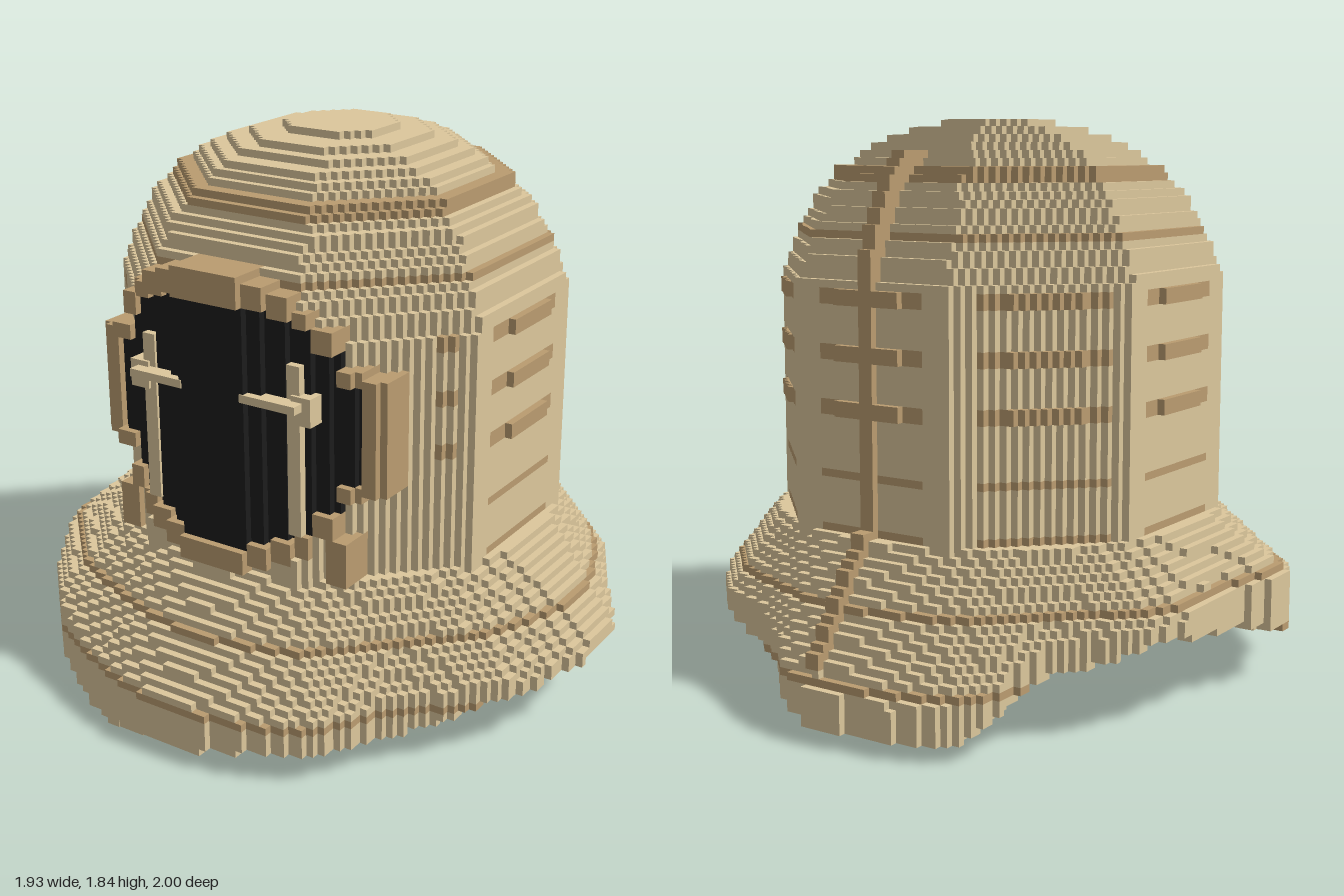
import * as THREE from 'three';

const N = 82, S = 2 / N;               // cells across and cell width
const NY = 75, SY = 1.84 / NY;         // layers and layer height
const CX = -0.05, CZ = 0.01;           // axis of the octagonal dome

// Dome radius (to the flat sides) by height
const DOME = [[0.3, 0.693], [1.3, 0.693], [1.4, 0.665], [1.46, 0.64], [1.52, 0.615], [1.6, 0.57],
  [1.65, 0.52], [1.69, 0.505], [1.7, 0.46], [1.73, 0.43], [1.755, 0.4], [1.78, 0.34], [1.805, 0.27],
  [1.828, 0.17], [1.84, 0.16]];

// Draped skirt every 22.5 degrees from +z toward +x: radius, hem height, height of full radius
const HEM = [[0.99, 0.05, 0.2], [0.99, 0.1, 0.2], [0.88, 0.11, 0.22], [0.96, 0.2, 0.25],
  [1.01, 0.24, 0.27], [0.91, 0.32, 0.34], [0.92, 0.25, 0.31], [0.87, 0.18, 0.3],
  [1.0, 0.06, 0.17], [1.02, 0.04, 0.15], [0.86, 0.21, 0.3], [0.92, 0.29, 0.35],
  [0.87, 0.25, 0.36], [0.98, 0.18, 0.36], [0.99, 0.11, 0.28], [0.97, 0, 0.2]];
const SKIRT_TOP = 0.57;

// Window and frame as stepped columns: half width, half height
const PANE = [[0.12, 0.395], [0.2, 0.375], [0.27, 0.35], [0.33, 0.325], [0.39, 0.25], [0.462, 0.168]];
const FRAME = [[0.12, 0.475], [0.2, 0.45], [0.27, 0.425], [0.33, 0.395], [0.39, 0.325], [0.462, 0.2],
  [0.53, 0.18]];

const SLAT_ROWS = [1.3, 1.128, 0.957, 0.757, 0.57];

function domeRadius(y) {
  if (y <= DOME[0][0]) return DOME[0][1];
  for (let i = 1; i < DOME.length; i++) {
    const [y0, r0] = DOME[i - 1], [y1, r1] = DOME[i];
    if (y <= y1) return r0 + (r1 - r0) * (y - y0) / (y1 - y0);
  }
  return 0;
}

// Hem height, outer and inner radius of the skirt; the cloth thins toward the hem
function skirtAt(angle, y) {
  const f = ((angle / (Math.PI / 8)) + 16) % 16, i = Math.floor(f), k = f - i;
  const w = k * k * (3 - 2 * k), a = HEM[i % 16], b = HEM[(i + 1) % 16];
  const [radius, hem, full] = a.map((v, n) => v + (b[n] - v) * w);
  const t = Math.min(1, Math.max(0, (SKIRT_TOP - y) / (SKIRT_TOP - full)));
  const outer = 0.725 + (radius - 0.725) * t;
  return { hem, outer, inner: outer - 0.09 - 0.05 * (1 - t) };
}

const inColumns = (steps, ax, ay) => {
  const step = steps.find(([w]) => ax < w);
  return step !== undefined && ay < step[1];
};

// Which part fills the cell centred at px, y, pz ('' for empty)
function partAt(px, y, pz) {
  const x = px - CX, z = pz - CZ, ax = Math.abs(x), az = Math.abs(z);
  const oct = Math.max(ax, az, (ax + az) * Math.SQRT1_2);
  const r = Math.hypot(x, z), angle = Math.atan2(x, z), dome = domeRadius(y);

  // Curved window with its raised frame and two feet
  if (pz > 0.46) {
    const pane = 0.725 - 0.38 * Math.max(0, ax - 0.1), ay = Math.abs(y - 1.04);
    if (inColumns(PANE, ax, ay)) {
      if (pz > pane) return '';
      return pz > pane - 0.07 ? 'window' : 'windowFrame';
    }
    if (inColumns(FRAME, ax, ay)) return pz < pane + 0.03 ? 'windowFrame' : '';
    if (ax > 0.36 && ax < 0.435 && y > 0.56 && y < 0.7 && pz < 0.66) return 'windowFrame';
  }

  const skirt = skirtAt(angle, y);

  // Rib down the back
  if (ax < 0.026 && z < 0 && y > 0.22 && y < 1.75) {
    const onDome = y > SKIRT_TOP + 0.03;
    const reach = onDome ? domeRadius(y - 0.09) + 0.025 : skirt.outer + 0.04;
    const base = onDome ? dome : skirt.outer;
    if (az < reach && az > base - 0.04 && y > skirt.hem) return 'backRib';
  }

  // Slats around the sides and back, only short ends beside the window
  const face = Math.round(angle / (Math.PI / 4));
  const along = r * Math.sin(angle - face * Math.PI / 4), side = Math.abs(along);
  if (face !== 0 && y > 0.56 && oct > dome - 0.04) {
    for (const [n, row] of SLAT_ROWS.entries()) {
      const off = Math.abs(y - row);
      if (Math.abs(face) === 1) {
        const end = along * face;
        if (n < 3 && off < 0.022 && end > 0.13 && end < 0.2 && oct < dome) return 'slats';
      } else {
        if (n < 3 && side < 0.12 && off < 0.022 && oct < dome + 0.02) return 'slats';
        if (side < 0.2 && off < 0.0135 && oct < dome) return 'slats';
      }
    }
  }

  // Dome, hollow at its foot
  if (oct < dome && y > 0.38 && (y > 0.55 || r > 0.65)) {
    const ring = (y > 1.65 && y < 1.69) || (y > 1.465 && y < 1.49);
    return ring && oct > dome - 0.08 ? 'domeBands' : 'dome';
  }

  // Skirt
  if (y < SKIRT_TOP && y > skirt.hem && r < skirt.outer && r > 0.65 &&
      (y > 0.38 || r > skirt.inner)) {
    const band = Math.abs(y - 0.38) < 0.0125 || Math.abs(y - 0.187) < 0.02;
    return band && r > skirt.outer - 0.045 ? 'skirtBands' : 'skirt';
  }
  return '';
}

// Face directions: axis, and the two edge axes in order
const AXES = [[0, 1, 2], [1, 2, 0], [2, 0, 1]];

export function createModel() {
  const group = new THREE.Group();
  const paint = (name, color) => {
    const m = new THREE.MeshStandardMaterial({ color });
    m.name = name;
    return m;
  };
  const tan = paint('tan', 0xdcc79c), brown = paint('brown', 0xba9c70), black = paint('black', 0x1c1c1c);
  const colours = { dome: tan, skirt: tan, domeBands: brown, skirtBands: brown, slats: brown,
    backRib: brown, windowFrame: brown, window: black };

  // Fill the grid of cells
  const cells = new Map(), key = (i, j, k) => (j * 100 + k + 5) * 100 + i + 5;
  for (let j = 0; j < NY; j++) for (let k = 0; k < N; k++) for (let i = 0; i < N; i++) {
    const part = partAt((i + 0.5) * S - 1, (j + 0.5) * SY, (k + 0.5) * S - 1);
    if (part) cells.set(key(i, j, k), [part, i, j, k]);
  }

  // Keep only the exposed faces of each part
  const data = {};
  for (const name in colours) data[name] = { position: [], normal: [], index: [] };
  for (const [part, ...cell] of cells.values()) {
    const { position, normal, index } = data[part];
    for (const [a, u, v] of AXES) for (const dir of [-1, 1]) {
      const next = [...cell];
      next[a] += dir;
      if (cells.has(key(...next))) continue;
      const n = [0, 0, 0], base = position.length / 3;
      n[a] = dir;
      for (const [du, dv] of [[0, 0], [1, 0], [1, 1], [0, 1]]) {
        const p = [...cell];
        if (dir > 0) p[a] += 1;
        p[u] += du;
        p[v] += dv;
        position.push(p[0] * S - 1, p[1] * SY, p[2] * S - 1);
        normal.push(...n);
      }
      const q = dir > 0 ? [0, 1, 2, 0, 2, 3] : [0, 2, 1, 0, 3, 2];
      index.push(...q.map(c => base + c));
    }
  }
  for (const name in colours) {
    const g = new THREE.BufferGeometry();
    g.setAttribute('position', new THREE.Float32BufferAttribute(data[name].position, 3));
    g.setAttribute('normal', new THREE.Float32BufferAttribute(data[name].normal, 3));
    g.setIndex(data[name].index);
    const mesh = new THREE.Mesh(g, colours[name]);
    mesh.name = name;
    group.add(mesh);
  }

  // Mirrored bars across the window
  const bar = (name, w, h, d, x, y, z) => {
    const mesh = new THREE.Mesh(new THREE.BoxGeometry(w, h, d), tan);
    mesh.name = name;
    mesh.position.set(x, y, z);
    group.add(mesh);
  };
  for (const s of [-1, 1]) {
    bar('uprightBar', 0.046, 0.55, 0.06, CX + s * 0.272, 0.985, 0.655);
    bar('crossBar', 0.2, 0.026, 0.09, CX + s * 0.21, 1.14, 0.69);
    bar('barClamp', 0.07, 0.09, 0.06, CX + s * 0.305, 1.125, 0.665);
  }
  return group;
}
